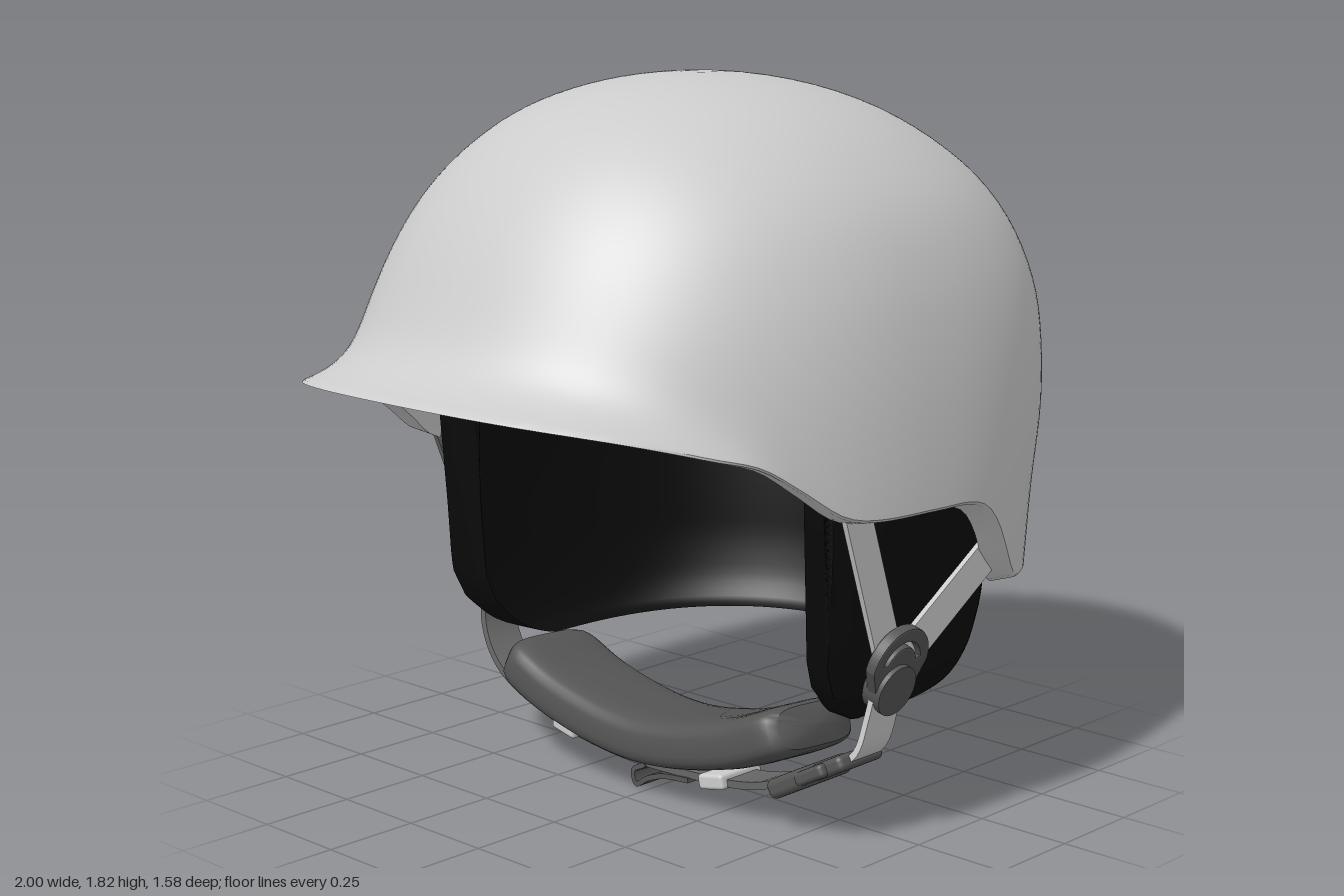
import * as THREE from 'three';
import { toCreasedNormals } from 'three/addons/utils/BufferGeometryUtils.js';
import { RoundedBoxGeometry } from 'three/addons/geometries/RoundedBoxGeometry.js';

const V = (x, y, z) => new THREE.Vector3(x, y, z);
const { clamp, lerp, smoothstep } = THREE.MathUtils;
const material = (color) => new THREE.MeshStandardMaterial({ color });
const grey = material(0xcccccc);
const black = material(0x0a0a0a);
const dark = material(0x555555);
const webbing = material(0x666666);

// Smooth, overshoot-free curve through [input, output] pairs
function curve(p) {
  const d = p.slice(1).map((q, i) => (q[1] - p[i][1]) / (q[0] - p[i][0]));
  const m = p.map((_, i) => {
    if (i === 0) return d[0];
    if (i === d.length) return d[i - 1];
    const limit = 3 * Math.min(Math.abs(d[i - 1]), Math.abs(d[i]));
    return d[i - 1] * d[i] > 0 ? clamp((d[i - 1] + d[i]) / 2, -limit, limit) : 0;
  });
  return (x) => {
    x = clamp(x, p[0][0], p[p.length - 1][0]);
    let i = 0;
    while (i < d.length - 1 && x > p[i + 1][0]) i++;
    const h = p[i + 1][0] - p[i][0], t = (x - p[i][0]) / h, t2 = t * t, t3 = t2 * t;
    return p[i][1] * (2 * t3 - 3 * t2 + 1) + p[i + 1][1] * (3 * t2 - 2 * t3)
      + h * (m[i] * (t3 - 2 * t2 + t) + m[i + 1] * (t3 - t2));
  };
}

// Closed rings of points joined into a skin
function loft(rows, sides, point) {
  const pos = [], index = [];
  for (let j = 0; j < rows; j++) {
    for (let i = 0; i < sides; i++) {
      pos.push(...point((i / sides) * Math.PI * 2, j).toArray());
      if (j === rows - 1) continue;
      const a = j * sides + i, b = j * sides + ((i + 1) % sides);
      index.push(a, a + sides, b, b, a + sides, b + sides);
    }
  }
  const g = new THREE.BufferGeometry();
  g.setAttribute('position', new THREE.Float32BufferAttribute(pos, 3));
  g.setIndex(index);
  return toCreasedNormals(g, 0.7);
}

// Flat or padded section swept along a path; exponent e < 1 squares it off
function sweep(points, widthDir, width, thick, { e = 0.05, steps = 32, sides = 4, taper = () => 1 } = {}) {
  const path = new THREE.CatmullRomCurve3(points);
  const pw = (c) => Math.sign(c) * Math.pow(Math.abs(c), e);
  return loft(steps + 3, sides, (a, j) => {
    const t = clamp((j - 1) / steps, 0, 1);
    const k = j === 0 || j === steps + 2 ? 0 : taper(t);
    const T = path.getTangent(t);
    const W = widthDir.clone().addScaledVector(T, -widthDir.dot(T)).normalize();
    const N = T.clone().cross(W);
    const b = a + Math.PI / sides;
    return path.getPoint(t).addScaledVector(W, (pw(Math.cos(b)) * width * k) / 2)
      .addScaledVector(N, (-pw(Math.sin(b)) * thick * k) / 2);
  });
}

// Half-axes of the horizontal section, every 10 degrees from base to crown
const byAngle = (list) => curve(list.map((r, i) => [(i * Math.PI) / 18, r]));
const backAxis = byAngle([0.885, 0.91, 0.978, 0.997, 0.945, 0.825, 0.65, 0.45, 0.23, 0]);
const frontAxis = byAngle([0.88, 0.88, 0.868, 0.833, 0.757, 0.66, 0.543, 0.4, 0.214, 0]);
const sideAxis = byAngle([0.785, 0.793, 0.783, 0.757, 0.711, 0.635, 0.517, 0.371, 0.195, 0]);

// Direction on a unit oval that is fuller toward the front and round at the crown
function oval(a, phi) {
  const c = Math.cos(a), s = Math.sin(a), n = 2 + (0.2 - 0.12 * c) * Math.cos(phi);
  const k = Math.pow(Math.pow(Math.abs(c), n) + Math.pow(Math.abs(s), n), -1 / n);
  return [c * k, s * k];
}
function section(a, phi) {
  const [c, s] = oval(a, phi);
  return [c * (c > 0 ? backAxis : frontAxis)(phi), s * sideAxis(phi)];
}

const BASE = 0.56, RISE = 1.265;
const rimHeight = curve([[-1, 1.13], [-0.85, 1.09], [-0.68, 1.035], [-0.57, 1], [-0.46, 0.935], [-0.34, 0.865],
  [-0.23, 0.845], [0, 0.84], [0.16, 0.83], [0.24, 0.8], [0.31, 0.74], [0.37, 0.67], [0.44, 0.6], [0.55, 0.575], [1, 0.56]]);

function shellPoint(a, s, inset) {
  const u = Math.cos(a), rim = rimHeight(oval(a, 0)[0]);
  const phi = lerp(Math.asin(Math.max(0, (rim - BASE) / RISE)), Math.PI / 2, s);
  const y = BASE + RISE * Math.sin(phi);
  // visor flare fades upward and toward the sides
  const flare = 0.16 * smoothstep(-u, 0.4, 1) * Math.exp(-(y - rim) / 0.047);
  const [x, z] = section(a, phi);
  return V((x + u * flare) * (1 - inset), y - inset * lerp(0.2, 1, s), (z + Math.sin(a) * flare) * (1 - inset));
}

const linerBottom = curve([[-1, 1.2], [-0.4, 1.02], [-0.345, 0.86], [-0.335, 0.6], [-0.31, 0.46],
  [-0.25, 0.38], [-0.13, 0.31], [0, 0.295], [1, 0.305]]);
const linerScale = curve([[0.295, 0.73], [0.31, 0.785], [0.35, 0.825], [0.43, 0.858], [0.56, 0.88], [2, 0.89]]);

function linerPoint(a, s, inset) {
  const bottom = linerBottom(oval(a, 0)[0]), top = 1.76;
  const y = bottom + (top - bottom) * Math.sin((s * Math.PI) / 2);
  const phi = Math.asin(clamp((y - BASE) / (top - BASE), 0, 1));
  const [x, z] = section(a, phi), k = linerScale(y) * (1 - inset);
  return V(x * k, y - inset * s, z * k);
}

// Double-walled dome: down the inside, around the softened rim, up the outside
function dome(fn, inset) {
  const half = 46, at = (i) => Math.pow(i / (half - 1), 1.5);
  return loft(half * 2, 180, (a, j) => (j < half
    ? fn(a, at(half - 1 - j), inset) : fn(a, at(j - half), j === half ? 0.008 : 0)));
}

export function createModel() {
  const model = new THREE.Group();
  const add = (name, geometry, mat, parent = model) => {
    const m = new THREE.Mesh(geometry, mat);
    m.name = name;
    parent.add(m);
    return m;
  };

  add('shell', dome(shellPoint, 0.08), grey);
  add('liner', dome(linerPoint, 0.14), black);

  // Y-shaped side straps with their junction buckle
  for (const s of [1, -1]) {
    const side = new THREE.Group();
    side.name = s > 0 ? 'leftFitting' : 'rightFitting';
    model.add(side);
    const strap = (name, from, to) => {
      const across = to.clone().sub(from).cross(V(0, 0, 1));
      add(name, sweep([from, to], across, 0.09, 0.015, { steps: 4 }), s > 0 ? grey : webbing, side);
    };
    strap('frontStrap', V(-0.22, 0.89, 0.715 * s), V(-0.06, 0.46, 0.7 * s));
    strap('rearStrap', V(0.36, 0.67, 0.68 * s), V(-0.03, 0.46, 0.705 * s));

    const buckle = new THREE.Group();
    buckle.name = 'junctionBuckle';
    buckle.position.set(-0.04, 0.43, 0.697 * s);
    buckle.rotation.x = 0.28 * s;
    side.add(buckle);

    const plate = new THREE.Shape();
    plate.moveTo(-0.055, -0.06).lineTo(0.055, -0.06).lineTo(0.095, 0.03);
    plate.absarc(0, 0.03, 0.095, 0, Math.PI, false);
    const slot = new THREE.Path();
    slot.absarc(0, 0.025, 0.074, 0.2, Math.PI - 0.2, false);
    slot.absarc(0, 0.025, 0.05, Math.PI - 0.2, 0.2, true);
    plate.holes.push(slot);
    const plateGeo = new THREE.ExtrudeGeometry(plate, {
      depth: 0.02, bevelSize: 0.005, bevelThickness: 0.005, bevelSegments: 2, curveSegments: 20,
    });
    add('bucklePlate', plateGeo.translate(0, 0, -0.01), dark, buckle);
    add('buckleButton', new THREE.CylinderGeometry(0.066, 0.066, 0.055, 32).rotateX(Math.PI / 2), dark, buckle)
      .position.set(-0.008, -0.03, 0);
  }

  // Chin strap: short light piece on the left, dark run under the chin
  add('leftChinStrap', sweep([V(-0.05, 0.42, 0.69), V(-0.06, 0.33, 0.675), V(-0.075, 0.24, 0.65), V(-0.1, 0.18, 0.56)],
    V(1, 0, 0), 0.11, 0.016, { steps: 16 }), grey);
  add('chinStrap', sweep([V(-0.1, 0.18, 0.56), V(-0.11, 0.1, 0.36), V(-0.11, 0.075, 0.1), V(-0.11, 0.075, -0.1),
    V(-0.11, 0.11, -0.33), V(-0.1, 0.2, -0.57), V(-0.07, 0.3, -0.67), V(-0.05, 0.42, -0.69)],
  V(1, 0, 0), 0.11, 0.02, { steps: 48 }), webbing);

  // Padded chin cup
  add('chinPad', sweep([V(-0.1, 0.285, 0.52), V(-0.1, 0.195, 0.3), V(-0.1, 0.145, 0), V(-0.1, 0.195, -0.3),
    V(-0.1, 0.275, -0.485)], V(1, -0.07, 0), 0.31, 0.13, {
    e: 0.5, steps: 48, sides: 28, taper: (t) => Math.pow(1 - Math.pow(Math.abs(2 * t - 1), 20), 0.4) * 0.99 + 0.01,
  }), dark);

  // Release buckle on the left
  const release = new THREE.Group();
  release.name = 'releaseBuckle';
  release.position.set(-0.09, 0.165, 0.53);
  release.rotation.x = -0.5;
  model.add(release);
  add('buckleSocket', new RoundedBoxGeometry(0.19, 0.05, 0.13, 3, 0.018), dark, release).position.z = -0.06;
  add('buckleTongue', new RoundedBoxGeometry(0.16, 0.04, 0.11, 3, 0.015), dark, release).position.z = 0.075;
  for (const x of [-0.085, 0.085])
    add('buckleProng', new RoundedBoxGeometry(0.03, 0.035, 0.1, 2, 0.012), dark, release).position.set(x, 0, 0.03);

  // Strap keepers and loose end
  for (const [z, y, tilt] of [[0.23, 0.083, -0.2], [-0.3, 0.108, 0.22]]) {
    const keeper = add('strapKeeper', new RoundedBoxGeometry(0.15, 0.04, 0.085, 2, 0.01), grey);
    keeper.position.set(-0.11, y, z);
    keeper.rotation.x = tilt;
  }
  add('strapTail', sweep([V(-0.12, 0.062, 0.14), V(-0.12, 0.052, 0.05), V(-0.125, 0.035, 0), V(-0.125, 0.012, -0.04),
    V(-0.125, 0.045, -0.05), V(-0.12, 0.065, -0.02)], V(1, 0, 0), 0.1, 0.014, { steps: 24 }), dark);

  return model;
}
